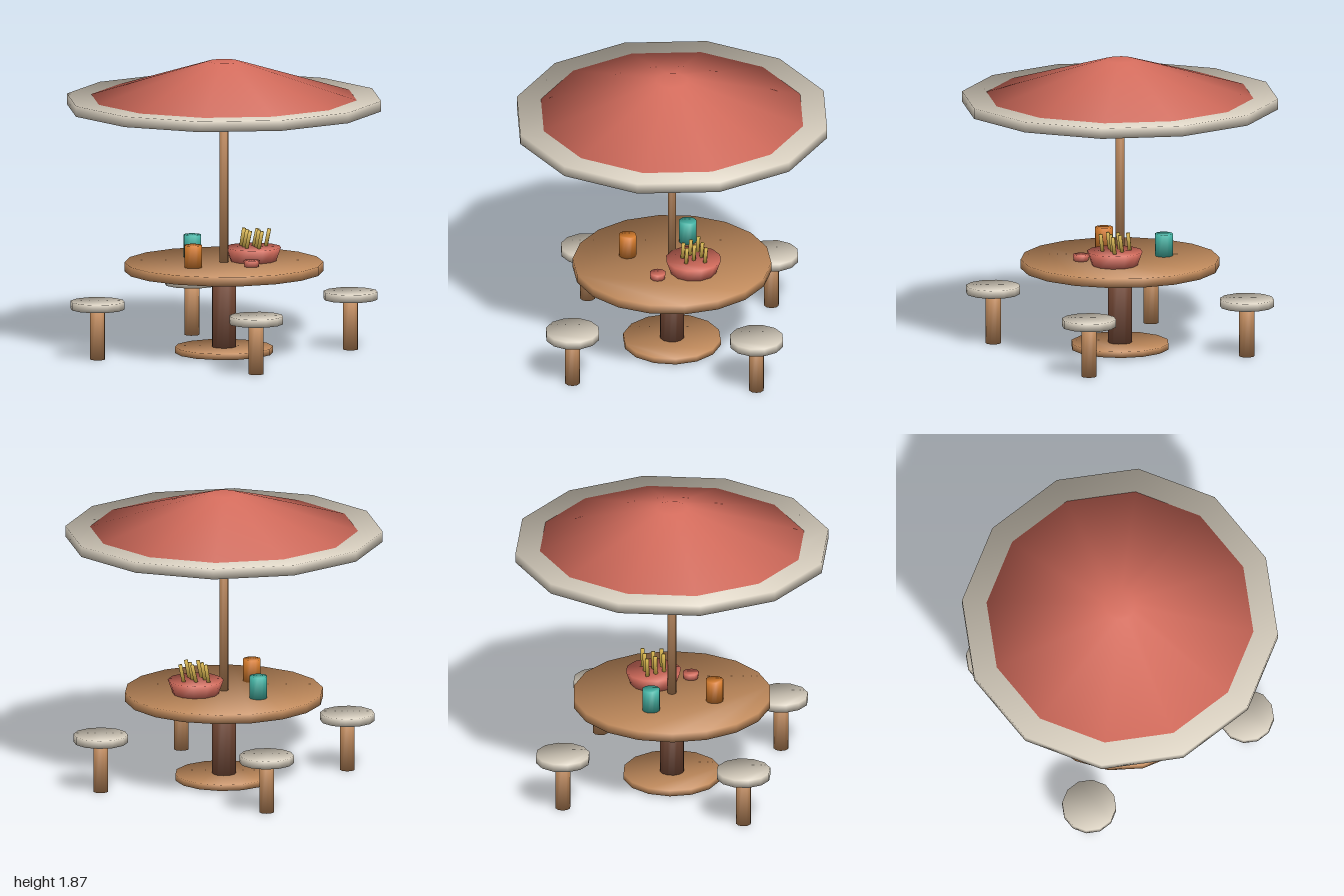
import * as THREE from 'three';

const mat = (name, color) => {
  const m = new THREE.MeshStandardMaterial({ color });
  m.name = name;
  return m;
};

// Closed tapered prism whose rim normals are blended between side and cap.
function softPrism(rTop, rBottom, y0, y1, sides) {
  const pos = [], nor = [], idx = [];
  const h = y1 - y0, dr = rBottom - rTop, len = Math.hypot(h, dr);
  for (const [r, y, cap] of [[rBottom, y0, -1], [rTop, y1, 1]]) {
    for (let i = 0; i < sides; i++) {
      const a = (i / sides) * Math.PI * 2, s = Math.sin(a), c = Math.cos(a);
      pos.push(r * s, y, r * c);
      const n = new THREE.Vector3(s * h / len, dr / len + cap * 0.86, c * h / len).normalize();
      nor.push(n.x, n.y, n.z);
    }
  }
  for (let i = 0; i < sides; i++) {
    const j = (i + 1) % sides;
    idx.push(i, j, sides + j, i, sides + j, sides + i);
    if (i > 0 && j > 0) idx.push(0, j, i, sides, sides + i, sides + j);
  }
  const g = new THREE.BufferGeometry();
  g.setAttribute('position', new THREE.Float32BufferAttribute(pos, 3));
  g.setAttribute('normal', new THREE.Float32BufferAttribute(nor, 3));
  g.setIndex(idx);
  return g;
}

export function createModel() {
  const model = new THREE.Group();
  model.name = 'parasolTable';

  const red = mat('coralRed', 0xd96f5f);
  const cream = mat('cream', 0xd9d0c0);
  const wood = mat('lightWood', 0xc48d5e);
  const brown = mat('darkWood', 0x7a4c38);
  const orange = mat('orange', 0xd67c2c);
  const teal = mat('teal', 0x45b5a6);
  const yellow = mat('yellow', 0xd6b34c);

  const add = (name, material, rTop, rBottom, y0, y1, sides, x = 0, z = 0, parent = model) => {
    const mesh = new THREE.Mesh(softPrism(rTop, rBottom, y0, y1, sides), material);
    mesh.name = name;
    mesh.position.set(x, 0, z);
    parent.add(mesh);
    return mesh;
  };

  // Table
  add('tableFoot', wood, 0.31, 0.31, 0.012, 0.05, 14);
  add('pedestal', brown, 0.077, 0.077, 0, 0.535, 12);
  add('tableTop', wood, 0.626, 0.626, 0.53, 0.588, 18);

  // Parasol
  add('parasolPole', wood, 0.028, 0.028, 0.58, 1.58, 10);
  add('parasolRim', cream, 1, 1, 1.57, 1.637, 12);
  add('parasolCanopy', red, 0.1, 0.845, 1.637, 1.866, 12);

  // Four stools in a ring
  for (let i = 0; i < 4; i++) {
    const a = 0.4 + i * Math.PI / 2;
    const stool = new THREE.Group();
    stool.name = 'stool';
    stool.position.set(Math.sin(a) * 0.821, 0, Math.cos(a) * 0.821);
    add('stoolLeg', wood, 0.048, 0.048, 0, 0.325, 10, 0, 0, stool);
    add('stoolSeat', cream, 0.171, 0.171, 0.32, 0.37, 12, 0, 0, stool);
    model.add(stool);
  }

  // Tableware
  add('orangeCup', orange, 0.056, 0.056, 0.586, 0.73, 12, -0.159, 0.243);
  add('tealCup', teal, 0.056, 0.056, 0.586, 0.73, 12, -0.228, -0.175);
  add('sauceCup', red, 0.052, 0.046, 0.586, 0.627, 10, 0.2, 0.157);
  add('bowl', red, 0.176, 0.145, 0.586, 0.675, 12, 0.173, -0.087);

  // Leaning sticks in the bowl
  for (let i = 0; i < 7; i++) {
    const stick = add('foodStick', yellow, 0.013, 0.013, 0, 0.125, 6,
      0.086 + i * 0.026, -0.083 + ((i % 3) - 1) * 0.058);
    stick.position.y = 0.662;
    stick.rotation.z = -0.16 - 0.02 * (i % 4);
  }

  return model;
}
